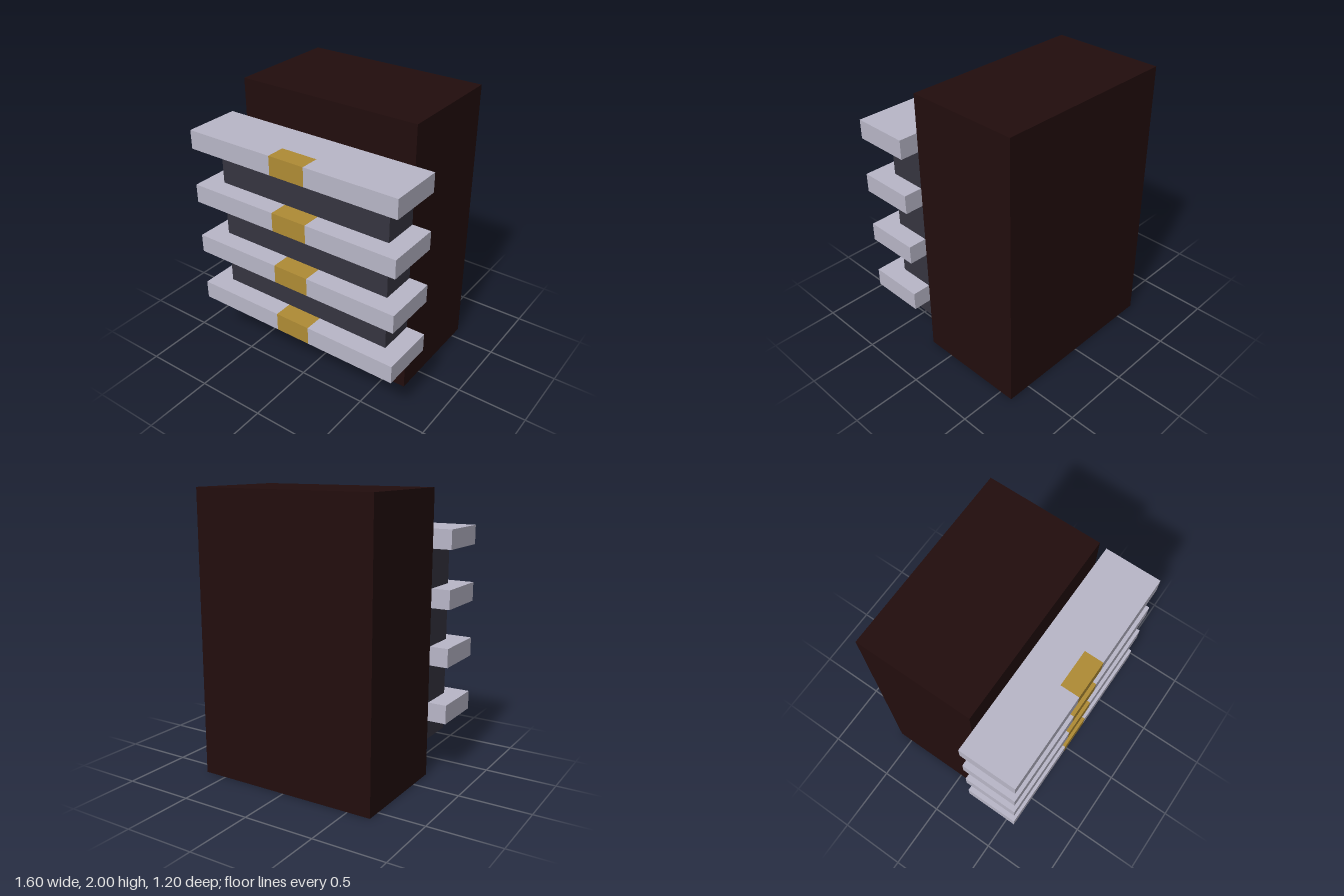
import * as THREE from 'three';

const U = 2 / 15; // the model sits on a regular grid of this size

export function createModel() {
  const model = new THREE.Group();
  model.name = 'ribbedBlock';

  const material = (name, color) => {
    const m = new THREE.MeshStandardMaterial({ color });
    m.name = name;
    return m;
  };
  const darkBrown = material('dark brown', 0x220d0d);
  const slate = material('slate grey', 0x363540);
  const paleGrey = material('pale lilac grey', 0xb9b7c8);
  const gold = material('gold', 0xb08c35);

  const add = (name, geometry, mat, x, y, z) => {
    const mesh = new THREE.Mesh(geometry, mat);
    mesh.name = name;
    mesh.position.set(x, y, z);
    model.add(mesh);
  };

  // Main body
  add('body', new THREE.BoxGeometry(10 * U, 15 * U, 6 * U), darkBrown, 0, 7.5 * U, -1.5 * U);

  // Front panel, ending inside the top rib
  add('frontPanel', new THREE.BoxGeometry(10 * U, 10.5 * U, 2 * U), slate, 0, 7.25 * U, 2.5 * U);

  // Rib with a notch in the middle of its front edge (outline in x, z)
  const outline = [[-6, 1.5], [6, 1.5], [6, 4.5], [1, 4.5], [1, 3.5], [-1, 3.5], [-1, 4.5], [-6, 4.5]];
  const shape = new THREE.Shape(outline.map(([x, z]) => new THREE.Vector2(x * U, z * U)));
  const ribGeometry = new THREE.ExtrudeGeometry(shape, { depth: U, bevelEnabled: false });
  ribGeometry.rotateX(Math.PI / 2).translate(0, U, 0);

  // Gold block filling the notch
  const claspGeometry = new THREE.BoxGeometry(2 * U, U, U);

  for (let i = 0; i < 4; i++) {
    const y = (3 + 3 * i) * U;
    add(`rib${i + 1}`, ribGeometry, paleGrey, 0, y, 0);
    add(`clasp${i + 1}`, claspGeometry, gold, 0, y + U / 2, 4 * U);
  }
  return model;
}
